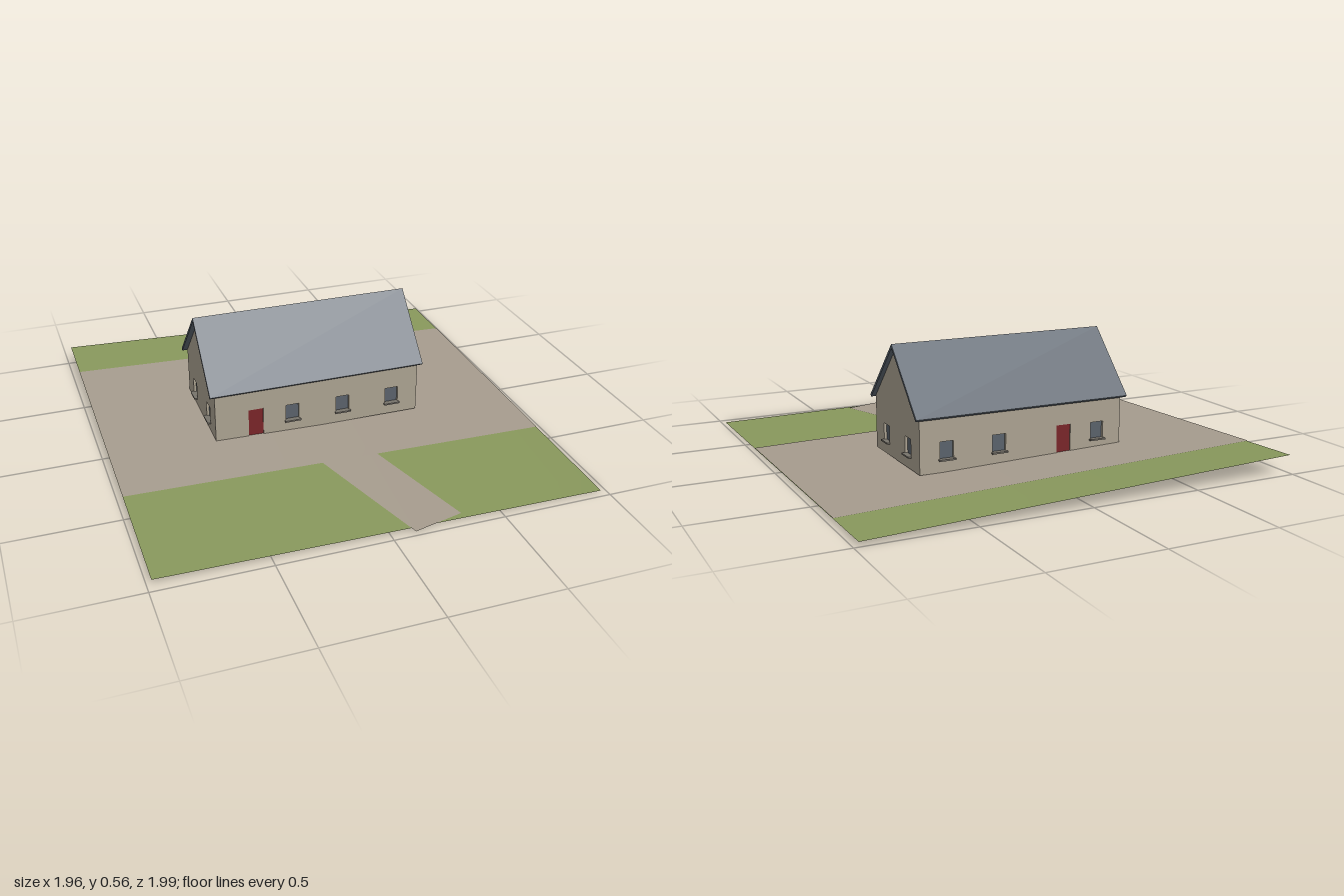
import * as THREE from 'three';

const mat = (name, color, side = THREE.FrontSide) => {
  const m = new THREE.MeshStandardMaterial({ color, side });
  m.name = name;
  return m;
};

const HALF_X = 0.493, HALF_Z = 0.25, CENTRE_Z = -0.16;
const BASE = 0.034, EAVE = 0.276, APEX = 0.535, WALL = 0.02;

// Gently sloping plot: bilinear blend of the four corner heights
function groundHeight(x, z) {
  const u = (x + 0.98) / 1.96, v = (z + 1) / 1.96;
  const back = 0.09 + (0.02 - 0.09) * u;
  const front = 0.025 * (1 - u);
  return back + (front - back) * v;
}

export function createModel() {
  const stone = mat('wall render', 0xaaa190);
  const slate = mat('roof slate', 0x5b646e);
  const glass = mat('window glass', 0x59616a);
  const doorRed = mat('door red', 0x782428);
  const sillGrey = mat('sill grey', 0x77736b);
  const grass = mat('grass', 0x88985c, THREE.DoubleSide);
  const gravel = mat('gravel', 0xa69c8e, THREE.DoubleSide);

  const model = new THREE.Group();
  model.name = 'cottage';

  const add = (parent, name, geometry, material, x = 0, y = 0, z = 0) => {
    const mesh = new THREE.Mesh(geometry, material);
    mesh.name = name;
    mesh.position.set(x, y, z);
    parent.add(mesh);
    return mesh;
  };

  // Ground sheets, corners as [x, z]: back left, back right, front right, front left
  const sheet = (name, [bl, br, fr, fl], lift, material) => {
    const g = new THREE.PlaneGeometry(1, 1, 16, 16);
    const p = g.attributes.position;
    for (let i = 0; i < p.count; i++) {
      const u = p.getX(i) + 0.5, v = 0.5 - p.getY(i);
      const [x, z] = [0, 1].map(k =>
        (bl[k] * (1 - u) + br[k] * u) * (1 - v) + (fl[k] * (1 - u) + fr[k] * u) * v);
      p.setXYZ(i, x, groundHeight(x, z) + lift, z);
    }
    g.computeVertexNormals();
    add(model, name, g, material);
  };
  sheet('lawn', [[-0.98, -1], [0.98, -1], [0.98, 0.96], [-0.98, 0.96]], 0, grass);
  sheet('gravelYard', [[-0.98, -0.72], [0.98, -0.72], [0.98, 0.4], [-0.98, 0.4]], 0.003, gravel);
  sheet('path', [[-0.09, 0.4], [0.17, 0.4], [0.33, 0.93], [0.1, 0.99]], 0.003, gravel);

  // A wall with recessed openings; its outer face lies on local z = 0
  const wall = (name, outline, windows, door, x, z, turn) => {
    const g = new THREE.Group();
    g.name = name;
    g.position.set(x, 0, z);
    g.rotation.y = turn;
    const shape = new THREE.Shape(outline.map(p => new THREE.Vector2(...p)));
    const cut = (cx, w, y0, y1) => shape.holes.push(new THREE.Path([
      new THREE.Vector2(cx - w / 2, y0), new THREE.Vector2(cx - w / 2, y1),
      new THREE.Vector2(cx + w / 2, y1), new THREE.Vector2(cx + w / 2, y0)]));
    for (const cx of windows) {
      cut(cx, 0.064, 0.092, 0.169);
      add(g, 'windowPane', new THREE.BoxGeometry(0.064, 0.077, 0.004), glass, cx, 0.1305, -0.014);
      add(g, 'windowSill', new THREE.BoxGeometry(0.076, 0.007, 0.026), sillGrey, cx, 0.0895, 0.002);
    }
    if (door !== null) {
      cut(door, 0.07, BASE + 0.001, 0.175);
      add(g, 'door', new THREE.BoxGeometry(0.07, 0.175 - BASE, 0.008), doorRed,
        door, (BASE + 0.175) / 2, -0.009);
    }
    const geo = new THREE.ExtrudeGeometry(shape, { depth: WALL, bevelEnabled: false });
    add(g, 'wallPanel', geo, stone, 0, 0, -WALL);
    model.add(g);
  };

  // Long walls fit between the two gables
  const lx = HALF_X - WALL;
  const long = [[-lx, BASE], [lx, BASE], [lx, EAVE], [-lx, EAVE]];
  const gable = [[-HALF_Z, BASE], [HALF_Z, BASE], [HALF_Z, EAVE], [0, APEX], [-HALF_Z, EAVE]];
  wall('frontWall', long, [-0.127, 0.119, 0.365], -0.302, 0, CENTRE_Z + HALF_Z, 0);
  wall('backWall', long, [-0.368, -0.12, 0.372], 0.2, 0, CENTRE_Z - HALF_Z, Math.PI);
  wall('leftGable', gable, [-0.123, 0.123], null, HALF_X, CENTRE_Z, Math.PI / 2);
  wall('rightGable', gable, [-0.123, 0.123], null, -HALF_X, CENTRE_Z, -Math.PI / 2);

  // Floor slab closes the underside
  add(model, 'floor', new THREE.BoxGeometry(2 * lx, 0.01, 2 * (HALF_Z - WALL)), stone,
    0, BASE + 0.005, CENTRE_Z);

  // Roof: a thin folded slab run along the ridge
  const fold = [[-0.267, 0.279], [-0.258, 0.27], [0, 0.537], [0.258, 0.27], [0.267, 0.279], [0, 0.555]];
  const roof = new THREE.ExtrudeGeometry(
    new THREE.Shape(fold.map(p => new THREE.Vector2(...p))), { depth: 1.03, bevelEnabled: false });
  add(model, 'roof', roof, slate, -0.517, 0, CENTRE_Z).rotation.y = Math.PI / 2;

  return model;
}
